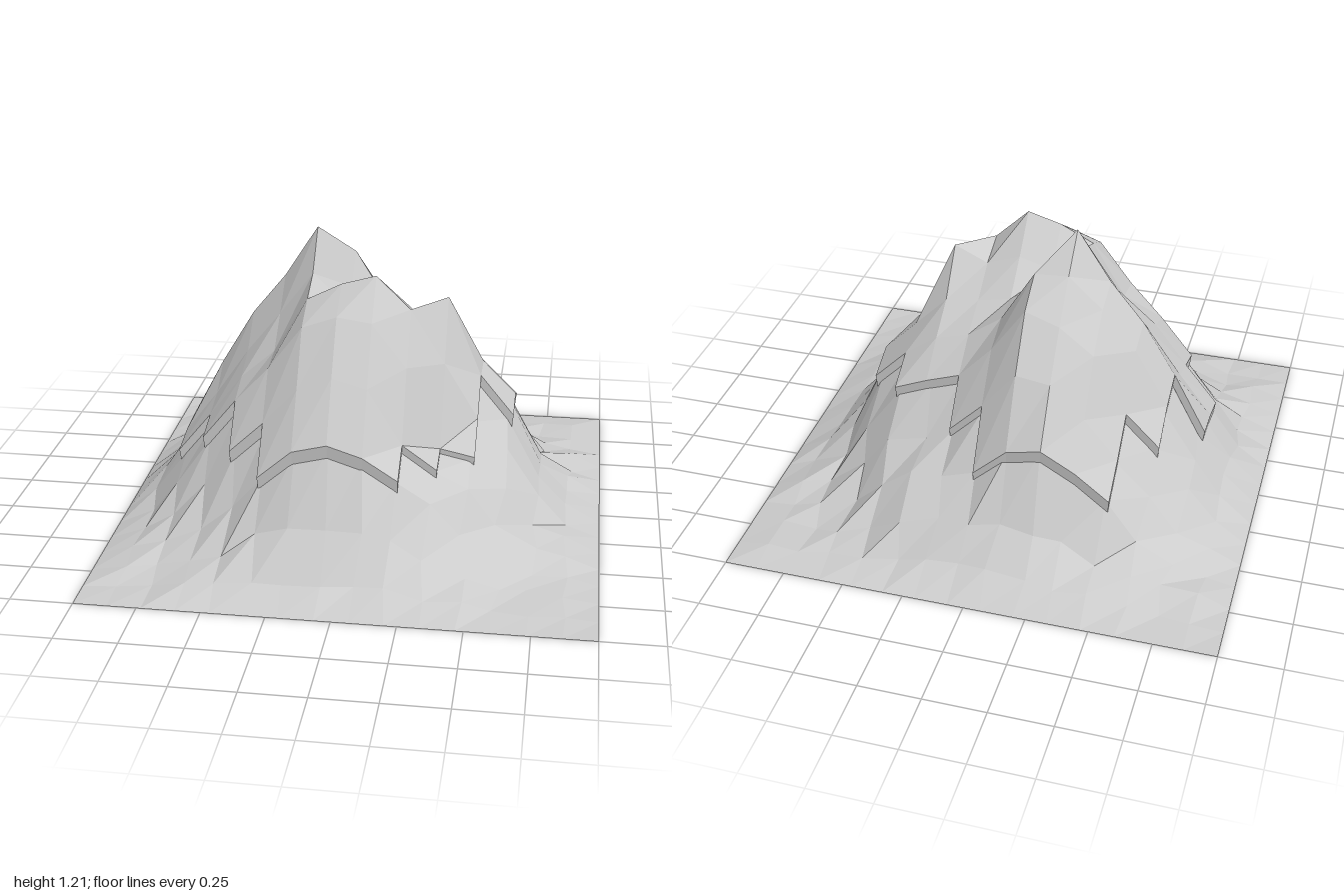
import * as THREE from 'three';

const N = 15; // cells per side
const at = (i) => -1 + (2 * i) / N;

// Slope of the mountain: [distance from the axis, height]
const PROFILE = [[0, 1.1], [0.23, 1.03], [0.34, 0.98], [0.47, 0.79], [0.6, 0.52],
  [0.72, 0.28], [0.86, 0.1], [0.97, 0.055], [1.15, 0.02], [1.5, 0.01]];

// Summit ridges and the valley between them: grid row -> [first column, heights]
const SUMMIT = {
  2: [6, [0.21, 0.23, 0.21]],
  3: [4, [0.34, 0.45, 0.53, 0.5, 0.37, 0.31]],
  4: [6, [0.75, 0.77, 0.6, 0.46, 0.38]],
  5: [3, [0.43, 0.57, 0.82, 0.93, 0.98, 0.78, 0.63, 0.58, 0.52]],
  6: [5, [0.95, 1.08, 1.07, 0.84, 0.74, 0.7, 0.6, 0.46]],
  7: [2, [0.34, 0.6, 0.83, 1.0, 1.215, 0.96, 0.85, 0.82, 0.8, 0.66, 0.52]],
  8: [2, [0.33, 0.51, 0.71, 0.88, 1.06, 0.93, 0.97, 0.92, 0.985, 0.65, 0.48]],
  9: [2, [0.3, 0.47, 0.65, 0.77, 1.0, 1.07, 1.11, 0.975, 0.75, 0.52]],
  10: [3, [0.43, 0.6, 0.75, 0.93, 0.98, 0.96, 0.78, 0.44, 0.41]],
  11: [4, [0.44, 0.57, 0.72, 0.78, 0.74, 0.51, 0.41]],
  12: [5, [0.4, 0.52, 0.555, 0.51, 0.42]],
};

// Snow cap: grid row of cells -> [first column, end column]
const CAP = { 3: [4, 8], 4: [4, 9], 5: [3, 11], 6: [3, 12], 7: [2, 12],
  8: [2, 11], 9: [3, 11], 10: [4, 10], 11: [5, 9] };
const inCap = (i, j) => !!CAP[j] && i >= CAP[j][0] && i < CAP[j][1];
const touchesCap = (i, j) =>
  inCap(i, j) || inCap(i - 1, j) || inCap(i, j - 1) || inCap(i - 1, j - 1);

// Repeatable roughness, -0.5 to 0.5
function rough(i, j) {
  const s = Math.sin(i * 12.99 + j * 78.23) * 43758.55;
  return s - Math.floor(s) - 0.5;
}

const onBorder = (i, j) => i === 0 || j === 0 || i === N || j === N;

function height(i, j) {
  if (onBorder(i, j)) return 0.005;
  const row = SUMMIT[j];
  if (row && row[1][i - row[0]] !== undefined) return row[1][i - row[0]];
  const r = Math.hypot(at(i) + 0.04, at(j));
  const k = PROFILE.findIndex((p) => p[0] > r);
  const [r0, h0] = PROFILE[k - 1], [r1, h1] = PROFILE[k];
  const h = h0 + ((h1 - h0) * (r - r0)) / (r1 - r0);
  return Math.max(0.01, h + rough(i, j) * 0.03);
}

// Loose rock points are shifted a little; those under the cap's edge are not
function rockPoint(i, j) {
  if (touchesCap(i, j)) return [at(i), height(i, j) * 0.96, at(j)];
  const shift = onBorder(i, j) ? 0 : 0.04;
  return [at(i) + shift * rough(i + 31, j), height(i, j), at(j) + shift * rough(i, j + 47)];
}
const capPoint = (i, j) => [at(i) * 1.04, height(i, j), at(j) * 1.04];
const rimPoint = (i, j) => [at(i) * 1.03, height(i, j) - 0.055, at(j) * 1.03];

// Two triangles; corners run anticlockwise seen from outside
function quad(out, a, b, c, d) {
  out.push(...a, ...b, ...d, ...b, ...c, ...d);
}

function cell(out, point, i, j) {
  quad(out, point(i, j), point(i, j + 1), point(i + 1, j + 1), point(i + 1, j));
}

function facetedMesh(name, positions) {
  const geometry = new THREE.BufferGeometry();
  geometry.setAttribute('position', new THREE.Float32BufferAttribute(positions, 3));
  geometry.computeVertexNormals();
  const mesh = new THREE.Mesh(geometry, new THREE.MeshStandardMaterial({
    color: 0xcccccc, flatShading: true, side: THREE.DoubleSide }));
  mesh.name = name;
  return mesh;
}

export function createModel() {
  const rock = [], snow = [], rim = [];

  for (let j = 0; j < N; j++) {
    for (let i = 0; i < N; i++) {
      if (!inCap(i, j)) {
        cell(rock, rockPoint, i, j);
        continue;
      }
      cell(snow, capPoint, i, j);

      // Stepped edge of the cap, joined underneath to the rock
      const sides = [
        [i - 1, j, [i, j], [i, j + 1]],
        [i, j + 1, [i, j + 1], [i + 1, j + 1]],
        [i + 1, j, [i + 1, j + 1], [i + 1, j]],
        [i, j - 1, [i + 1, j], [i, j]],
      ];
      for (const [ni, nj, p, q] of sides) {
        if (inCap(ni, nj)) continue;
        quad(rim, capPoint(...p), rimPoint(...p), rimPoint(...q), capPoint(...q));
        quad(rim, rimPoint(...p), rockPoint(...p), rockPoint(...q), rimPoint(...q));
      }
    }
  }

  const model = new THREE.Group();
  model.name = 'mountain';
  model.add(facetedMesh('rockSlopes', rock), facetedMesh('snowCap', snow),
    facetedMesh('snowCapEdge', rim));
  return model;
}
